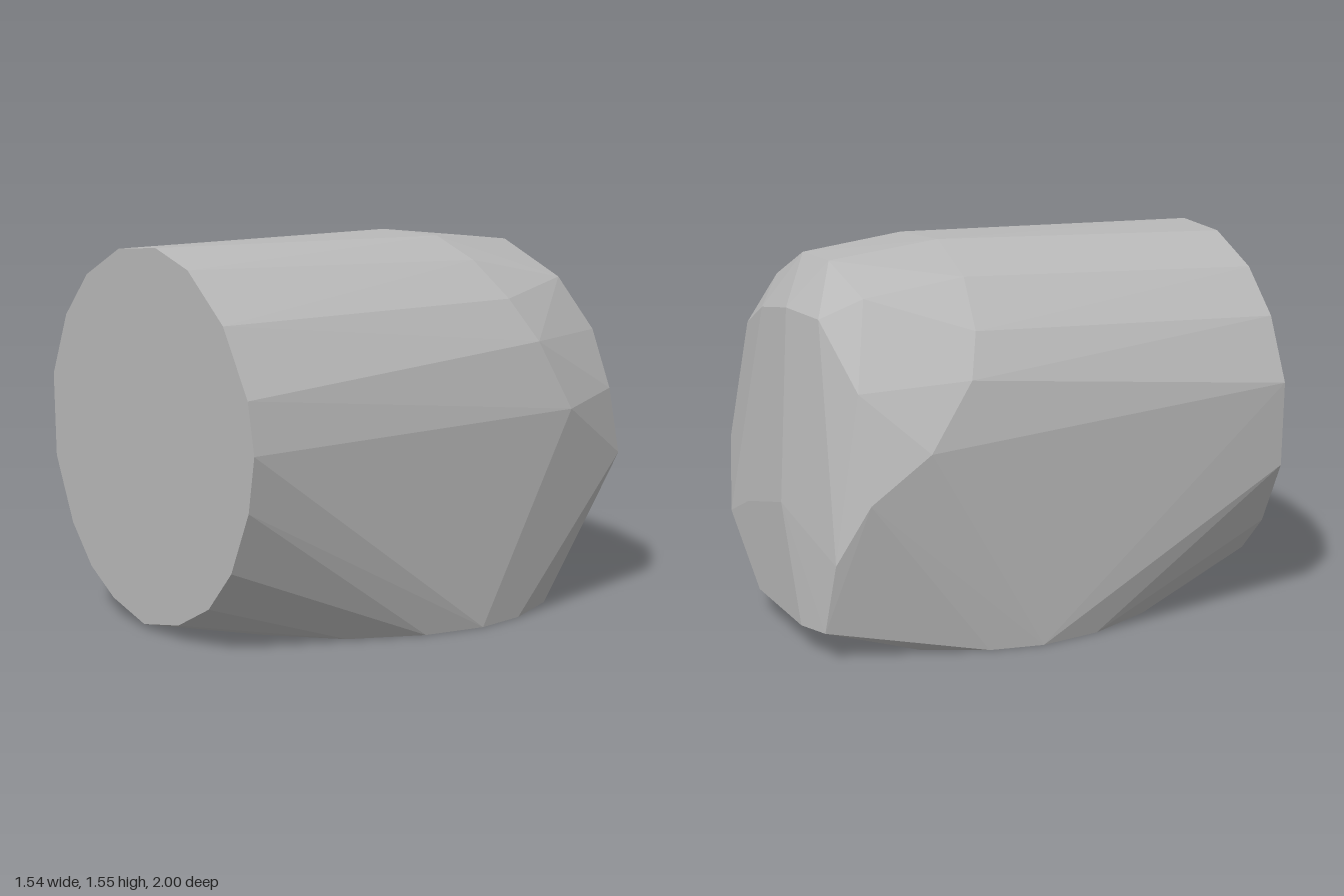
import * as THREE from 'three';
import { ConvexGeometry } from 'three/addons/geometries/ConvexGeometry.js';

// Turns [x, y] or [x, z] pairs into points on a flat plane
const onFront = (pairs, z) => pairs.map(([x, y]) => new THREE.Vector3(x, y, z));
const onGround = (pairs) => pairs.map(([x, z]) => new THREE.Vector3(x, 0, z));
const inSpace = (triples) => triples.map((p) => new THREE.Vector3(...p));

export function createModel() {
  const model = new THREE.Group();
  const grey = new THREE.MeshStandardMaterial({ color: 0xb8b8b8 });
  grey.name = 'stone grey';

  // Round flat front face
  const frontFace = onFront([
    [0.1, 1.54], [0.33, 1.47], [0.57, 1.28], [0.73, 1.02], [0.77, 0.82], [0.73, 0.6],
    [0.61, 0.35], [0.45, 0.18], [0.23, 0.07], [-0.03, 0.02], [-0.27, 0.08], [-0.45, 0.18],
    [-0.6, 0.34], [-0.73, 0.61], [-0.74, 0.96], [-0.62, 1.22], [-0.44, 1.4], [-0.18, 1.52],
  ], 1);

  // Oval flat base, mirrored left and right
  const baseHalf = [
    [0.34, 0.66], [0.58, 0.44], [0.72, 0.15], [0.765, -0.11], [0.73, -0.33], [0.61, -0.58], [0.3, -0.75],
  ];
  const base = onGround([[0, 0.73], [0, -0.77], ...baseHalf, ...baseHalf.map(([x, z]) => [-x, z])]);

  // Arch where the barrel begins to taper
  const shoulder = inSpace([
    [0.77, 0.85, -0.57], [0.7, 1.13, -0.45], [0.59, 1.3, -0.38], [0.42, 1.45, -0.33], [0.22, 1.54, -0.3],
    [-0.12, 1.55, -0.28], [-0.42, 1.44, -0.3], [-0.62, 1.26, -0.34], [-0.72, 1.09, -0.4], [-0.77, 0.83, -0.59],
  ]);

  // Bevelled rim around the back
  const backRim = inSpace([
    [0.69, 0.62, -0.92], [0.68, 0.9, -0.87], [0.57, 1.14, -0.87], [0.46, 1.36, -0.77], [0.1, 1.5, -0.78],
    [-0.17, 1.5, -0.77], [-0.41, 1.38, -0.72], [-0.6, 1.05, -0.82], [-0.72, 0.64, -0.82], [-0.65, 0.4, -0.94],
  ]);

  // Nearly flat back face, sloping in towards the top
  const backFace = inSpace([
    [0.25, 1.26, -0.91], [-0.08, 1.31, -0.92], [-0.34, 1.3, -0.88], [-0.2, 0.55, -1], [0.22, 0.45, -1],
    [0.46, 0.35, -1], [0.1, 0.1, -1], [-0.41, 0.1, -1], [-0.6, 0.12, -0.97], [-0.3, 0.04, -0.92],
  ]);

  const body = new THREE.Mesh(
    new ConvexGeometry([...frontFace, ...base, ...shoulder, ...backRim, ...backFace]), grey);
  body.name = 'facetedBody';
  model.add(body);
  return model;
}
